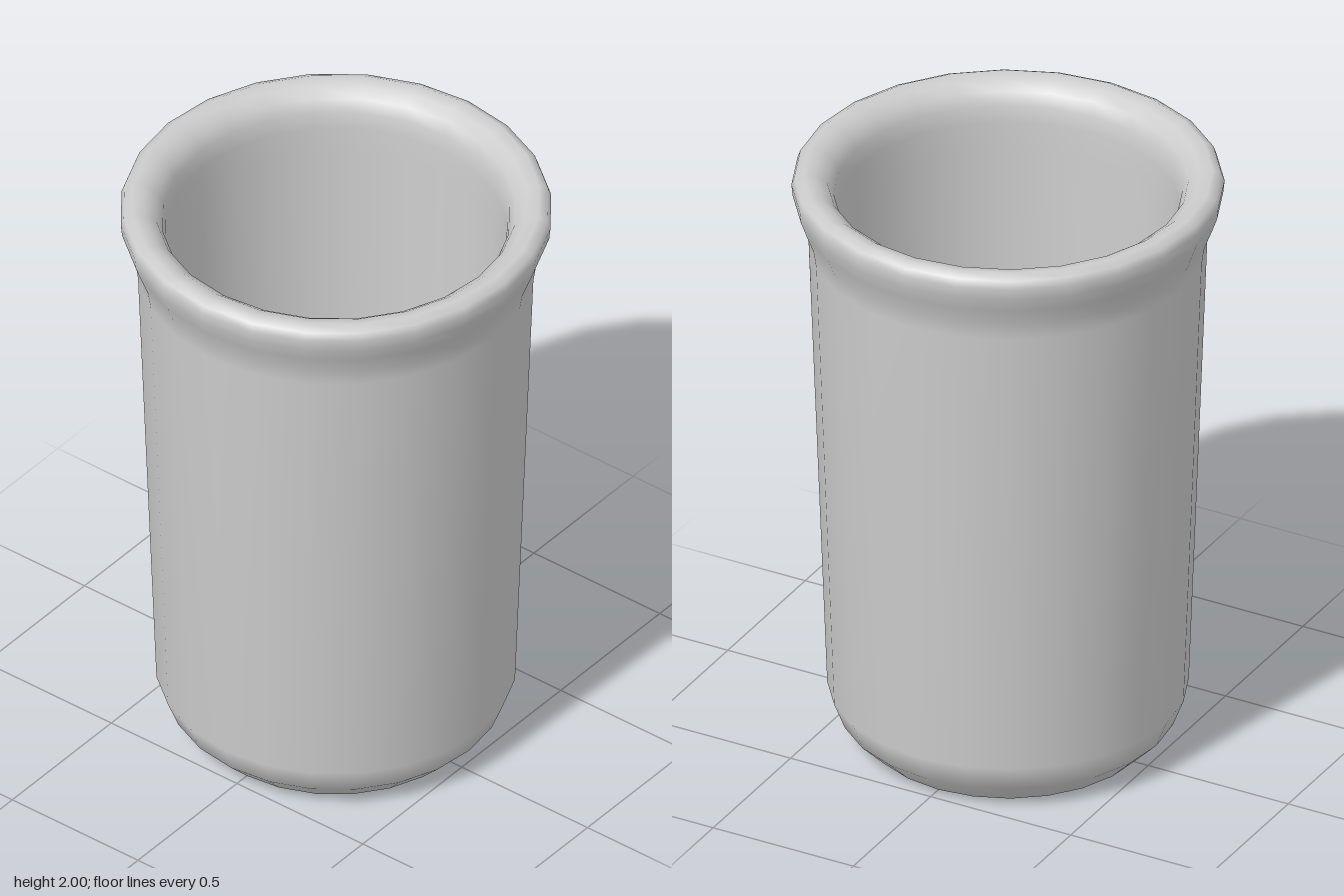
import * as THREE from 'three';

const SIDES = 24;

export function createModel() {
  const group = new THREE.Group();
  group.name = 'cup';
  const lightGrey = new THREE.MeshStandardMaterial({ color: 0xcccccc });
  lightGrey.name = 'lightGrey';

  // Turned part from [radius, height] pairs
  const turn = (name, profile) => {
    const points = profile.map(([r, y]) => new THREE.Vector2(r, y));
    const mesh = new THREE.Mesh(new THREE.LatheGeometry(points, SIDES), lightGrey);
    mesh.name = name;
    group.add(mesh);
  };

  // Flat underside
  turn('underside', [[0, 0], [0.45, 0]]);

  // Outer wall, flared rounded rim and inner wall in one smooth skin
  turn('wallAndRim', [
    [0.45, 0], [0.53, 0.08], [0.565, 0.17],
    [0.623, 1.75], [0.632, 1.81], [0.655, 1.87], [0.673, 1.92],
    [0.677, 1.96], [0.668, 1.985], [0.64, 2.0],
    [0.6, 1.99], [0.565, 1.965], [0.545, 1.925], [0.538, 1.87],
    [0.535, 1.78], [0.47, 0.1],
  ]);

  // Flat floor inside the cup
  turn('innerFloor', [[0.47, 0.1], [0, 0.1]]);

  return group;
}
